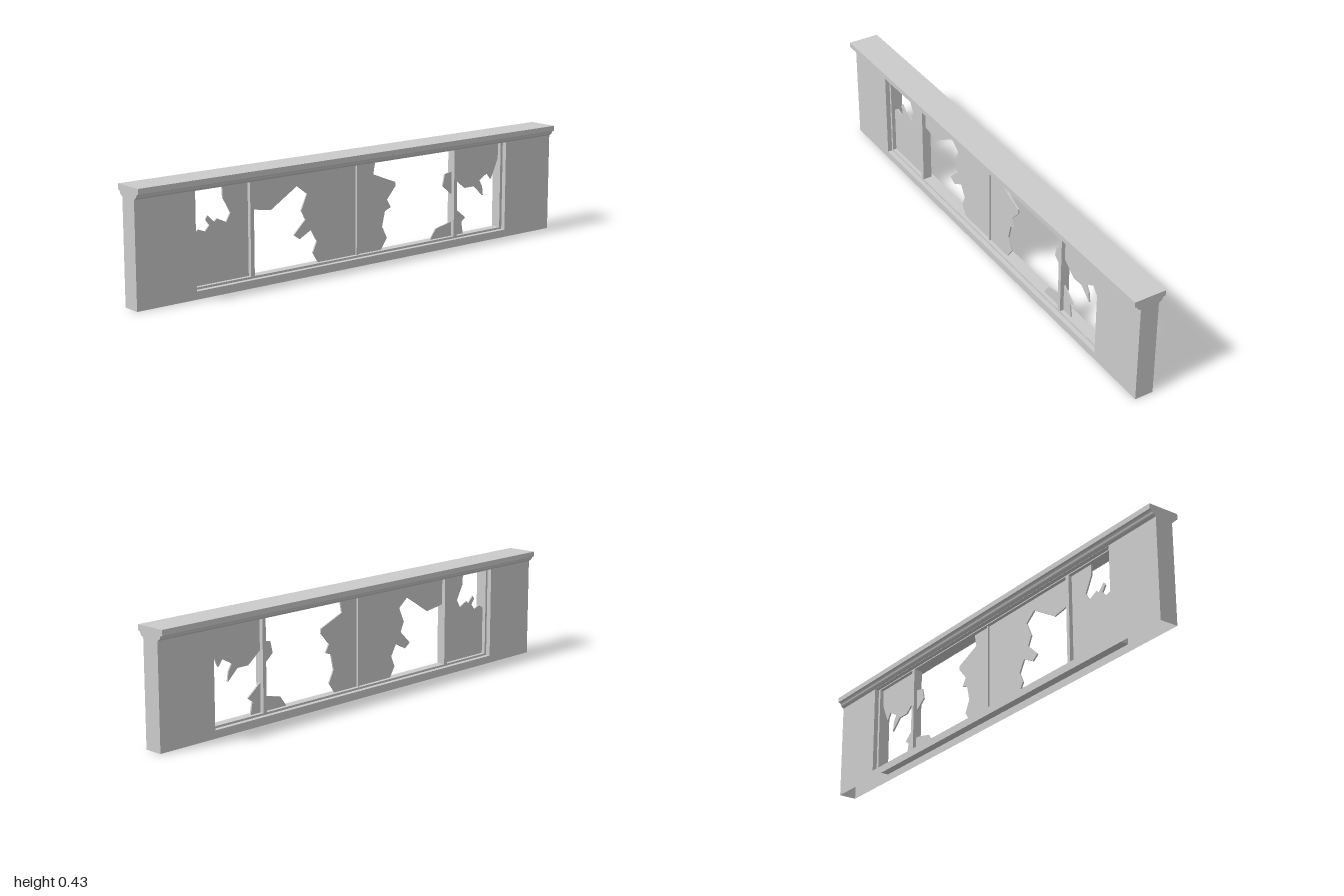
import * as THREE from 'three';

const material = new THREE.MeshStandardMaterial({ color: 0xcccccc, flatShading: true, side: THREE.DoubleSide });

const WALL = 0.0365;      // half depth of the wall
const OPEN = 0.752;       // half width of the opening
const SILL = 0.03;        // height of the sill
const TOP = 0.39;         // underside of the cornice
const FRAME = 0.018;      // half depth of the window frame
const GLASS = 0.003;      // half thickness of the panes

function addMesh(parent, name, geometry) {
  const mesh = new THREE.Mesh(geometry, material);
  mesh.name = name;
  parent.add(mesh);
  return mesh;
}

// Box from its limits; omit lists faces to leave out (0 +x, 1 -x, 2 +y, 3 -y, 4 +z, 5 -z)
function addBox(parent, name, x0, x1, y0, y1, halfZ, omit = []) {
  const geometry = new THREE.BoxGeometry(x1 - x0, y1 - y0, halfZ * 2);
  const index = Array.from(geometry.index.array);
  geometry.setIndex(index.filter((v, i) => !omit.includes(Math.floor(i / 6))));
  geometry.clearGroups();
  geometry.translate((x0 + x1) / 2, (y0 + y1) / 2, 0);
  return addMesh(parent, name, geometry);
}

function toShape(points) {
  return new THREE.Shape(points.map(([x, y]) => new THREE.Vector2(x, y)));
}

function rectangle(halfWidth, y0, y1) {
  return toShape([[-halfWidth, y0], [halfWidth, y0], [halfWidth, y1], [-halfWidth, y1]]);
}

// Jagged outlines of the glass that is still held by the frame
const shards = [
  [[-0.615, 0.39], [-0.612, 0.342], [-0.58, 0.283], [-0.599, 0.251], [-0.639, 0.27], [-0.65, 0.259],
    [-0.679, 0.286], [-0.687, 0.273], [-0.671, 0.251], [-0.69, 0.23], [-0.719, 0.241], [-0.748, 0.224],
    [-0.748, 0.035], [-0.5, 0.035], [-0.5, 0.39]],
  [[-0.5, 0.282], [-0.401, 0.267], [-0.281, 0.34], [-0.235, 0.305], [-0.262, 0.246], [-0.243, 0.209],
    [-0.297, 0.158], [-0.27, 0.139], [-0.217, 0.166], [-0.19, 0.12], [-0.209, 0.078], [-0.182, 0.035],
    [0, 0.035], [0, 0.39], [-0.5, 0.39]],
  [[0.094, 0.39], [0.083, 0.337], [0.193, 0.294], [0.195, 0.278], [0.152, 0.23], [0.171, 0.198],
    [0.142, 0.187], [0.128, 0.128], [0.152, 0.08], [0.12, 0.035], [0, 0.035], [0, 0.39]],
  [[0.5, 0.301], [0.452, 0.291], [0.441, 0.246], [0.487, 0.209], [0.5, 0.2]],
  [[0.374, 0.035], [0.406, 0.078], [0.5, 0.098], [0.5, 0.035]],
  [[0.5, 0.27], [0.561, 0.222], [0.612, 0.222], [0.66, 0.179], [0.655, 0.217], [0.639, 0.243],
    [0.682, 0.267], [0.703, 0.241], [0.738, 0.316], [0.745, 0.39], [0.5, 0.39]],
  [[0.5, 0.152], [0.564, 0.102], [0.543, 0.086], [0.553, 0.035], [0.5, 0.035]],
];

export function createModel() {
  const model = new THREE.Group();
  model.name = 'brokenWindowWall';

  // Wall: a hollow shell, open underneath, with a long opening
  const wall = new THREE.Group();
  wall.name = 'wall';
  model.add(wall);
  const face = rectangle(1, 0, TOP);
  face.holes.push(rectangle(OPEN, SILL, TOP - 0.001));
  for (const [name, turn] of [['wallFront', 0], ['wallBack', Math.PI]]) {
    const geometry = new THREE.ShapeGeometry(face);
    geometry.translate(0, 0, WALL);
    geometry.rotateY(turn);
    addMesh(wall, name, geometry);
  }
  addBox(wall, 'wallEnds', -1, 1, 0, TOP, WALL, [2, 3, 4, 5]);
  addBox(wall, 'openingReveal', -OPEN, OPEN, SILL, TOP, WALL, [2, 4, 5]);

  // Cornice: half profile (z, y) mirrored, then swept along x
  const half = [[WALL, TOP], [0.047, 0.397], [0.049, 0.4], [0.051, 0.405], [0.055, 0.41], [0.0625, 0.412], [0.0625, 0.4325]];
  const profile = [...half, ...half.map(([z, y]) => [-z, y]).reverse()];
  const cornice = new THREE.ExtrudeGeometry(toShape(profile), { depth: 2, bevelEnabled: false });
  cornice.rotateY(Math.PI / 2);
  cornice.translate(-1, 0, 0);
  addMesh(model, 'cornice', cornice);

  // Window frame: rails, jambs, two mullions and a slim centre bar
  const frame = new THREE.Group();
  frame.name = 'windowFrame';
  model.add(frame);
  addBox(frame, 'bottomRail', -OPEN, OPEN, SILL, 0.038, FRAME, [3]);
  addBox(frame, 'topRail', -OPEN, OPEN, 0.386, 0.395, FRAME);
  addBox(frame, 'rightJamb', -OPEN, -0.742, SILL, TOP, FRAME, [1, 3]);
  addBox(frame, 'leftJamb', 0.74, OPEN, SILL, TOP, FRAME, [0, 3]);
  for (const x of [-0.496, 0.496]) {
    addBox(frame, 'mullion', x - 0.008, x + 0.008, SILL, TOP, FRAME, [3]);
  }
  addBox(frame, 'centreBar', -0.004, 0.004, SILL, TOP, 0.01, [3]);

  // Broken panes
  const panes = new THREE.Group();
  panes.name = 'brokenPanes';
  model.add(panes);
  for (const outline of shards) {
    const shard = new THREE.ExtrudeGeometry(toShape(outline), { depth: GLASS * 2, bevelEnabled: false });
    shard.translate(0, 0, -GLASS);
    addMesh(panes, 'glassShard', shard);
  }

  return model;
}
